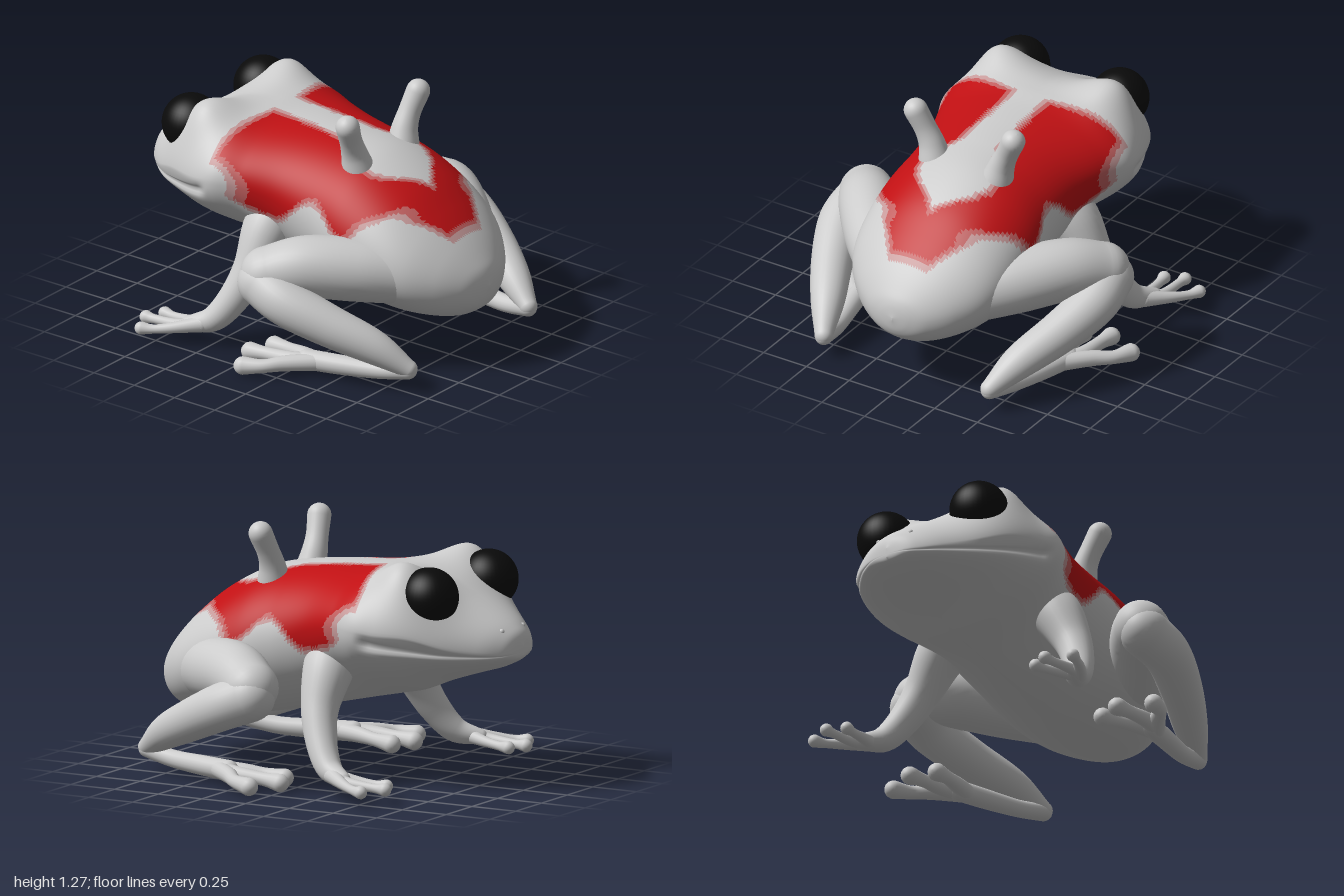
import * as THREE from 'three';

const grey = new THREE.MeshStandardMaterial({ color: 0xcccccc });
const black = new THREE.MeshStandardMaterial({ color: 0x0a0a0a });
// From bare skin to full red, for soft-edged markings
const tones = [0xcccccc, 0xc69a9a, 0xc26060, 0xc01013].map(color => new THREE.MeshStandardMaterial({ color }));
const V = (x, y, z) => new THREE.Vector3(x, y, z);

// Closed-around surface from a rule point(u, angle)
function surface(point, nu, nv) {
  const pos = [], idx = [];
  for (let i = 0; i <= nu; i++) {
    for (let j = 0; j < nv; j++) pos.push(...point(i / nu, (j / nv) * Math.PI * 2).toArray());
  }
  for (let i = 0; i < nu; i++) {
    for (let j = 0; j < nv; j++) {
      const k = (j + 1) % nv;
      const a = i * nv + j, b = a + nv, c = (i + 1) * nv + k, d = i * nv + k;
      idx.push(a, b, c, a, c, d);
    }
  }
  const g = new THREE.BufferGeometry();
  g.setAttribute('position', new THREE.Float32BufferAttribute(pos, 3));
  g.setIndex(idx);
  g.computeVertexNormals();
  return g;
}

function add(parent, name, geometry, material = grey) {
  const m = new THREE.Mesh(geometry, material);
  m.name = name;
  parent.add(m);
  return m;
}

// Round-ended limb through stations [x, y, z, radius]; s mirrors it in z
function limb(stations, s, nv = 20) {
  const path = new THREE.CatmullRomCurve3(stations.map(p => V(p[0], p[1], p[2] * s)), false, 'catmullrom');
  const size = new THREE.CatmullRomCurve3(stations.map(p => V(p[3], 0, 0)), false, 'catmullrom');
  const cap = 0.16;
  return surface((u, a) => {
    // The first and last share of u sweeps a hemisphere
    const t = THREE.MathUtils.clamp((u - cap) / (1 - 2 * cap), 0, 1);
    const e = u < cap ? u / cap - 1 : u > 1 - cap ? (u - 1 + cap) / cap : 0;
    const T = path.getTangent(t), r = size.getPoint(t).x;
    const n1 = T.clone().cross(V(0, 0, 1)).normalize(), n2 = n1.clone().cross(T);
    const ring = r * Math.cos(e * Math.PI / 2);
    return path.getPoint(t)
      .addScaledVector(T, r * Math.sin(e * Math.PI / 2))
      .addScaledVector(n1, ring * Math.cos(a))
      .addScaledVector(n2, ring * Math.sin(a));
  }, 50, nv);
}

// Body stations from snout to rump: x, top, widest height, bottom, half width
const rows = [
  [-1.0, 0.73, 0.70, 0.68, 0], [-0.985, 0.785, 0.70, 0.66, 0.1], [-0.95, 0.825, 0.70, 0.64, 0.175],
  [-0.88, 0.875, 0.71, 0.61, 0.265], [-0.75, 0.95, 0.73, 0.57, 0.385], [-0.6, 1.03, 0.76, 0.52, 0.475],
  [-0.45, 1.08, 0.79, 0.46, 0.535], [-0.32, 1.09, 0.82, 0.43, 0.55], [-0.18, 1.08, 0.82, 0.4, 0.495],
  [0, 1.07, 0.78, 0.36, 0.445], [0.2, 1.05, 0.7, 0.315, 0.44], [0.4, 1.01, 0.62, 0.275, 0.455],
  [0.6, 0.91, 0.56, 0.25, 0.44], [0.75, 0.79, 0.52, 0.25, 0.39], [0.87, 0.67, 0.48, 0.265, 0.29],
  [0.95, 0.57, 0.45, 0.31, 0.18], [0.985, 0.51, 0.44, 0.36, 0.09], [1.0, 0.44, 0.44, 0.43, 0],
];
const heights = new THREE.CatmullRomCurve3(rows.map(r => V(r[0], r[1], r[2])), false, 'catmullrom');
const widths = new THREE.CatmullRomCurve3(rows.map(r => V(r[0], r[3], r[4])), false, 'catmullrom');

function bodyPoint(u, a) {
  const h = heights.getPoint(u), w = widths.getPoint(u);
  const c = Math.cos(a), n = Math.sin(a), x = h.x;
  let z = w.z * c;
  let y = n > 0 ? h.z + (h.y - h.z) * n : h.z + (h.z - w.y) * n;
  // The throat and chest draw in below the widest line
  if (n < 0) z *= Math.abs(c) ** (0.6 * THREE.MathUtils.smoothstep(-x, -0.1, 0.3));
  // Mouth groove along the widest line of the head
  const head = THREE.MathUtils.smoothstep(-x, 0.34, 0.42);
  z *= 1 - 0.05 * head * Math.exp(-(((n + 0.1) / 0.07) ** 2));
  // Brow bumps around and behind the eyes
  if (n > 0) {
    const dx = (x + 0.53) / 0.16, dz = (Math.abs(z) - 0.3) / 0.16;
    const bump = Math.exp(-dx * dx - dz * dz);
    y += 0.13 * bump;
    z += 0.045 * bump * Math.sign(z);
  }
  return V(x, y, z);
}

// How far a point lies inside the red markings of the back
function redness(x, y, z) {
  const d = Math.abs(z);
  const low = x < 0 ? 0.68 + 1.7 * x * x : 0.75 - 0.07 * Math.cos(x * 15);
  const front = -0.33 + 0.2 * Math.max(0, 0.45 - d);
  const inner = 0.1 + 0.12 * Math.exp(-(((x - 0.4) / 0.13) ** 2)) - 0.8 * Math.max(0, x - 0.52);
  const outer = 0.5 - 0.85 * Math.max(0, x - 0.38);
  return Math.min(x - front, 0.84 - x, y - low, d - inner, outer - d);
}

// The body surface, shared out between the tones
function buildBody(group) {
  const g = surface(bodyPoint, 190, 128);
  const p = g.attributes.position, all = g.index.array, parts = tones.map(() => []);
  for (let i = 0; i < all.length; i += 3) {
    const c = V(0, 0, 0);
    for (let k = 0; k < 3; k++) c.add(V(0, 0, 0).fromBufferAttribute(p, all[i + k]));
    c.divideScalar(3);
    const tone = Math.floor(redness(c.x, c.y, c.z) / 0.02 + 2);
    parts[THREE.MathUtils.clamp(tone, 0, 3)].push(all[i], all[i + 1], all[i + 2]);
  }
  parts.forEach((index, k) => {
    add(group, ['body', 'paleMarkingEdge', 'markingEdge', 'backMarkings'][k], g.clone().setIndex(index), tones[k]);
  });
}

function buildSide(s) {
  const side = new THREE.Group();
  side.name = s > 0 ? 'frontSide' : 'backSide';

  // Eye and nostril
  add(side, 'eye', new THREE.SphereGeometry(0.147, 40, 28), black).position.set(-0.632, 0.985, 0.29 * s);
  add(side, 'nostril', new THREE.SphereGeometry(0.014, 12, 8)).position.set(-0.935, 0.81, 0.1 * s);

  // Horn on the back
  add(side, 'horn', limb([[0.32, 0.95, 0.18, 0.085], [0.315, 1.04, 0.205, 0.066],
    [0.32, 1.12, 0.24, 0.057], [0.335, 1.212, 0.285, 0.06]], s, 28));

  // Foreleg with three fingers
  add(side, 'foreleg', limb([[-0.09, 0.67, 0.27, 0.14], [-0.1, 0.57, 0.375, 0.125], [-0.115, 0.4, 0.475, 0.094],
    [-0.17, 0.25, 0.55, 0.078], [-0.25, 0.14, 0.61, 0.064], [-0.36, 0.105, 0.665, 0.038]], s, 28));
  for (const [x, z, bend] of [[-0.545, 0.81, 0.735], [-0.61, 0.685, 0.685], [-0.565, 0.592, 0.62]]) {
    add(side, 'finger', limb([[-0.29, 0.115, 0.65, 0.042], [-0.4, 0.095, bend, 0.028],
      [x + 0.06, 0.082, (z * 2 + bend) / 3, 0.023], [x, 0.08, z, 0.033]], s, 16));
  }

  // Hind leg: thigh, shank and long foot with three toes
  add(side, 'thigh', limb([[0.66, 0.5, 0.25, 0.15], [0.49, 0.535, 0.415, 0.16],
    [0.3, 0.555, 0.575, 0.155], [0.15, 0.52, 0.69, 0.136]], s, 32));
  add(side, 'shank', limb([[0.14, 0.48, 0.72, 0.125], [0.3, 0.415, 0.735, 0.118], [0.5, 0.325, 0.665, 0.106],
    [0.71, 0.225, 0.56, 0.086], [0.865, 0.125, 0.485, 0.046]], s, 28));
  add(side, 'foot', limb([[0.865, 0.115, 0.485, 0.044], [0.7, 0.085, 0.515, 0.044],
    [0.5, 0.078, 0.565, 0.05], [0.33, 0.075, 0.605, 0.052]], s, 20));
  for (const [x, z, bend] of [[0.09, 0.815, 0.7], [0.01, 0.65, 0.64], [0.06, 0.52, 0.56]]) {
    add(side, 'toe', limb([[0.4, 0.075, 0.59, 0.045], [0.27, 0.07, bend, 0.04],
      [x + 0.1, 0.06, (z * 2 + bend) / 3, 0.034], [x, 0.05, z, 0.046]], s, 16));
  }
  return side;
}

export function createModel() {
  const frog = new THREE.Group();
  frog.name = 'frog';
  buildBody(frog);
  frog.add(buildSide(1), buildSide(-1));
  return frog;
}
